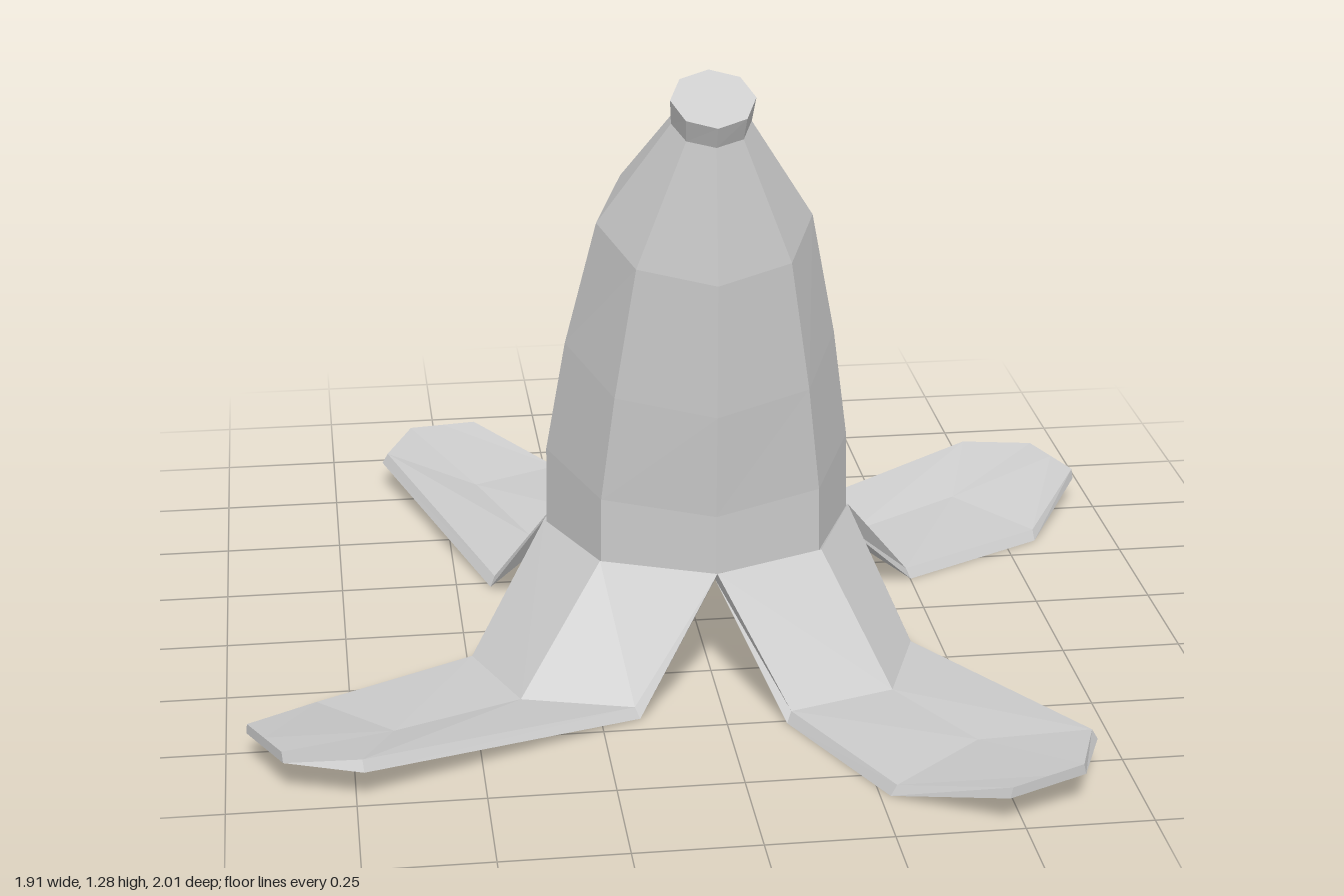
import * as THREE from 'three';

const material = new THREE.MeshStandardMaterial({ color: 0xcccccc, flatShading: true });

function makeMesh(name, tris) {
  const geometry = new THREE.BufferGeometry().setFromPoints(tris);
  geometry.computeVertexNormals();
  const mesh = new THREE.Mesh(geometry, material);
  mesh.name = name;
  return mesh;
}

const quad = (tris, a, b, c, d) => tris.push(a, b, c, a, c, d);

// Wall between two closed loops running anticlockwise seen from above
function band(tris, low, high) {
  low.forEach((p, i) => {
    const k = (i + 1) % low.length;
    quad(tris, p, low[k], high[k], high[i]);
  });
}

function cap(tris, loop, up) {
  for (let i = 1; i < loop.length - 1; i++) {
    if (up) tris.push(loop[0], loop[i], loop[i + 1]);
    else tris.push(loop[0], loop[i + 1], loop[i]);
  }
}

// Tilted octagon: half width, front point (z, y), back point (z, y)
function ring([w, zf, yf, zb, yb]) {
  return Array.from({ length: 8 }, (_, i) => {
    const a = (i * Math.PI) / 4, c = Math.cos(a);
    return new THREE.Vector3(
      w * Math.sin(a),
      (yf + yb) / 2 + (c * (yf - yb)) / 2,
      (zf + zb) / 2 + (c * (zf - zb)) / 2
    );
  });
}

function loft(name, profile) {
  const rings = profile.map(ring), tris = [];
  for (let i = 0; i < rings.length - 1; i++) band(tris, rings[i], rings[i + 1]);
  cap(tris, rings[0], false);
  cap(tris, rings[rings.length - 1], true);
  return makeMesh(name, tris);
}

// Underside of one flap: fold, widest and tip rows, three [x, y, z] points each
const flapRows = [
  [[0.12, 0, 0.51], [0.35, 0, 0.43], [0.44, 0, 0.2]],
  [[0.27, 0, 0.84], [0.47, 0.015, 0.7], [0.69, 0.065, 0.78]],
  [[0.47, 0.06, 0.99], [0.55, 0.065, 0.96], [0.63, 0.07, 0.93]],
];

function peelFlap(name, quarter, twist) {
  const up = new THREE.Vector3(0, 1, 0);
  const turn = (quarter * Math.PI) / 2;
  // Root row follows a quarter of the body's lower rim
  const root = (r, y) => [0, 1, 2].map((j) => {
    const a = turn + (j * Math.PI) / 4;
    return new THREE.Vector3(r * Math.sin(a), y, r * Math.cos(a) + 0.02);
  });
  const bottom = [root(0.29, 0.235)];
  const top = [root(0.325, 0.262)];
  for (const row of flapRows) {
    const pts = row.map((p) => new THREE.Vector3(...p).applyAxisAngle(up, turn + twist));
    bottom.push(pts);
    // Upper skin is slightly narrower, giving a bevelled rim
    const mid = pts[0].clone().add(pts[2]).multiplyScalar(0.5);
    top.push(pts.map((p, j) => {
      const q = p.clone();
      if (j !== 1) q.lerp(mid, 0.06);
      q.y = p.y + 0.022;
      return q;
    }));
  }
  const tris = [];
  for (let i = 0; i < 3; i++) {
    for (let j = 0; j < 2; j++) {
      quad(tris, top[i][j], top[i + 1][j], top[i + 1][j + 1], top[i][j + 1]);
      quad(tris, bottom[i][j], bottom[i][j + 1], bottom[i + 1][j + 1], bottom[i + 1][j]);
    }
  }
  const rim = (g) => [
    g[0][0], g[1][0], g[2][0], g[3][0], g[3][1],
    g[3][2], g[2][2], g[1][2], g[0][2], g[0][1],
  ];
  band(tris, rim(bottom), rim(top));
  return makeMesh(name, tris);
}

export function createModel() {
  const group = new THREE.Group();
  group.name = 'bananaPeel';

  // Curved, tapering body
  group.add(loft('body', [
    [0.32, 0.33, 0.255, -0.28, 0.255],
    [0.318, 0.328, 0.38, -0.28, 0.47],
    [0.28, 0.342, 0.6, -0.2, 0.75],
    [0.22, 0.348, 0.88, -0.06, 1.03],
    [0.08, 0.318, 1.155, 0.165, 1.215],
  ]));

  // Short cut stem
  group.add(loft('stem', [
    [0.08, 0.318, 1.155, 0.165, 1.215],
    [0.085, 0.34, 1.2, 0.198, 1.28],
  ]));

  // Four peeled flaps, slightly uneven in direction
  group.add(
    peelFlap('frontLeftFlap', 0, 0),
    peelFlap('backLeftFlap', 1, 0.065),
    peelFlap('backRightFlap', 2, -0.065),
    peelFlap('frontRightFlap', 3, 0.065)
  );
  return group;
}
